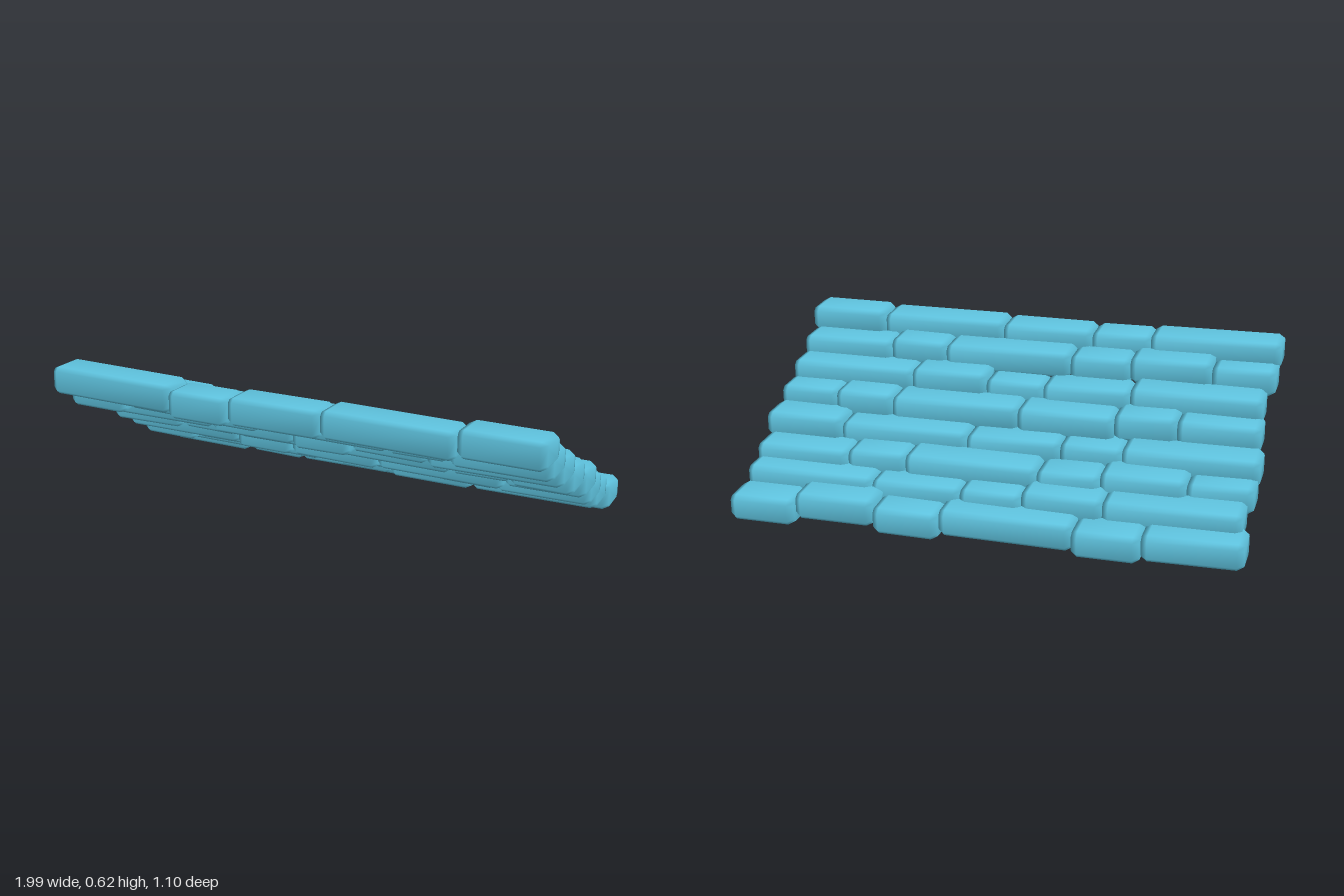
import * as THREE from 'three';

// Each course, front (highest) to back (lowest):
// x = joints between stones, back = rear z of each stone, base = underside y of each stone
const COURSES = [
  { x: [-0.995, -0.47, -0.225, 0.15, 0.67, 0.995],
    back: [0.37, 0.382, 0.37, 0.37, 0.358], base: [0.498, 0.485, 0.492, 0.499, 0.51] },
  { x: [-0.99, -0.74, -0.415, -0.17, 0.355, 0.595, 0.98],
    back: [0.262, 0.24, 0.235, 0.228, 0.235, 0.228], base: [0.418, 0.435, 0.423, 0.43, 0.432, 0.42] },
  { x: [-0.965, -0.445, -0.093, 0.147, 0.46, 0.98],
    back: [0.102, 0.1, 0.11, 0.1, 0.102], base: [0.35, 0.338, 0.333, 0.355, 0.348] },
  { x: [-0.975, -0.655, -0.41, -0.025, 0.5, 0.74, 0.985],
    back: [-0.01, -0.02, -0.038, -0.03, -0.03, -0.018], base: [0.276, 0.283, 0.275, 0.275, 0.28, 0.276] },
  { x: [-0.995, -0.47, -0.225, 0.15, 0.67, 0.99],
    back: [-0.15, -0.14, -0.147, -0.15, -0.162], base: [0.194, 0.186, 0.188, 0.192, 0.208] },
  { x: [-0.99, -0.74, -0.415, -0.17, 0.355, 0.595, 0.975],
    back: [-0.255, -0.275, -0.285, -0.29, -0.282, -0.292], base: [0.124, 0.136, 0.123, 0.133, 0.13, 0.123] },
  { x: [-0.97, -0.45, -0.14, 0.1, 0.455, 0.972],
    back: [-0.393, -0.395, -0.4, -0.393, -0.395], base: [0.073, 0.076, 0.063, 0.06, 0.066] },
  { x: [-0.995, -0.62, -0.365, 0.15, 0.405, 0.72, 0.98],
    back: [-0.5, -0.525, -0.505, -0.525, -0.525, -0.548], base: [0.008, 0.002, 0.014, 0.002, 0.026, 0.002] },
];

// Cross-section of a stone as [z from rear, y], rear lip over the top to the front lip, open below
const PROFILE = [
  [0.016, 0], [0.002, 0.014], [0, 0.082], [0.02, 0.1],
  [0.147, 0.107], [0.163, 0.092], [0.165, 0.014], [0.149, 0],
];
const MID_Z = 0.0825;
const MID_Y = 0.052;
const CHAMFER = 0.024;

// Small seeded generator for the hand-cut irregularity
function seeded(seed) {
  let s = seed;
  return () => (s = (s * 16807) % 2147483647) / 2147483647;
}

// A softly worn hollow block: the profile swept along x, shrinking at both chamfered ends
function stoneGeometry(width, slope, twist) {
  const half = width / 2;
  const stations = [[-half, 0.78], [CHAMFER - half, 1], [half - CHAMFER, 1], [half, 0.78]];
  const n = PROFILE.length;
  const positions = [];
  const index = [];
  stations.forEach(([x, scale], i) => {
    PROFILE.forEach(([z, y], j) => {
      positions.push(
        x,
        MID_Y + (y - MID_Y) * scale + (slope * x) / half,
        (z - MID_Z) * scale + (twist * x) / half,
      );
      if (i < 3 && j < n - 1) {
        const a = i * n + j;
        index.push(a, a + 1, a + n, a + 1, a + n + 1, a + n);
      }
    });
  });
  // End caps
  const last = 3 * n;
  for (let j = 1; j < n - 1; j++) {
    index.push(0, j + 1, j, last, last + j, last + j + 1);
  }
  const geo = new THREE.BufferGeometry();
  geo.setAttribute('position', new THREE.Float32BufferAttribute(positions, 3));
  geo.setIndex(index);
  geo.computeVertexNormals();
  return geo;
}

export function createModel() {
  const model = new THREE.Group();
  model.name = 'stoneSteps';
  const material = new THREE.MeshStandardMaterial({ color: 0x60c6e2, side: THREE.DoubleSide });
  const rand = seeded(4217);

  COURSES.forEach(({ x, back, base }, row) => {
    const course = new THREE.Group();
    course.name = `stepCourse${row + 1}`;
    back.forEach((z, i) => {
      const slope = (rand() - 0.5) * 0.005;
      const twist = (rand() - 0.5) * 0.005;
      const stone = new THREE.Mesh(stoneGeometry(x[i + 1] - x[i], slope, twist), material);
      stone.name = `stone${i + 1}`;
      stone.position.set((x[i] + x[i + 1]) / 2, base[i], z + MID_Z);
      course.add(stone);
    });
    model.add(course);
  });
  return model;
}
